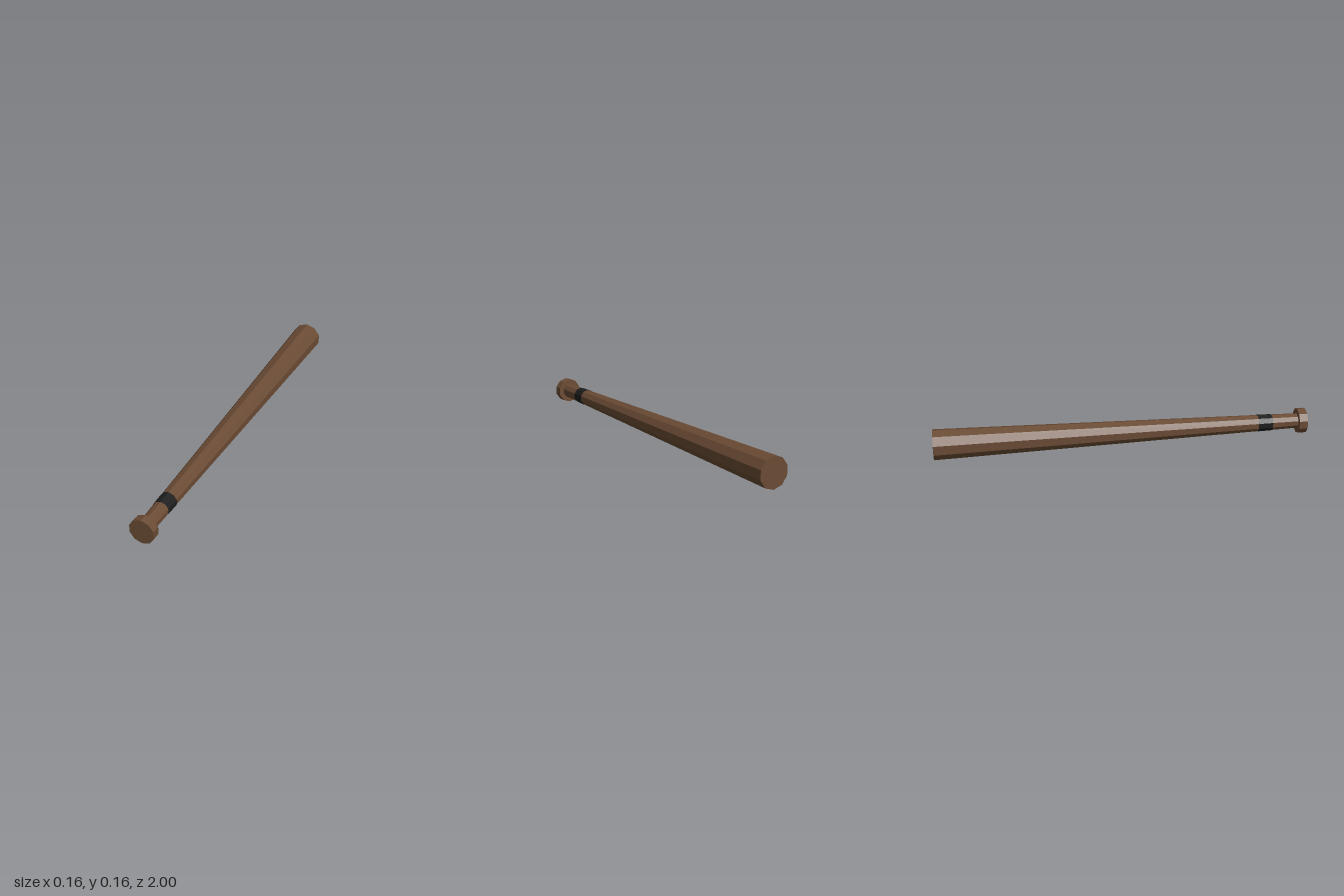
import * as THREE from 'three';

const AXIS_Y = 0.084; // height of the bat's centre line
const SIDES = 10;

export function createModel() {
  const wood = new THREE.MeshStandardMaterial({ color: 0x6a4b34, flatShading: true });
  wood.name = 'brown wood';
  const tape = new THREE.MeshStandardMaterial({ color: 0x1c1c1c, flatShading: true });
  tape.name = 'black tape';

  const bat = new THREE.Group();
  bat.name = 'bat';

  // Ten-sided section along z, with its own radius at each end
  function section(name, material, zBack, rBack, zFront, rFront) {
    const geometry = new THREE.CylinderGeometry(rFront, rBack, zFront - zBack, SIDES);
    geometry.rotateX(Math.PI / 2);
    const mesh = new THREE.Mesh(geometry, material);
    mesh.name = name;
    mesh.position.set(0, AXIS_Y, (zBack + zFront) / 2);
    bat.add(mesh);
  }

  // Tapered barrel and handle, end knob, and the tape wrapped round the grip
  section('barrel', wood, -1, 0.082, 0.956, 0.04);
  section('knob', wood, 0.955, 0.068, 1, 0.068);
  section('gripBand', tape, 0.735, 0.0462, 0.813, 0.0445);

  return bat;
}
